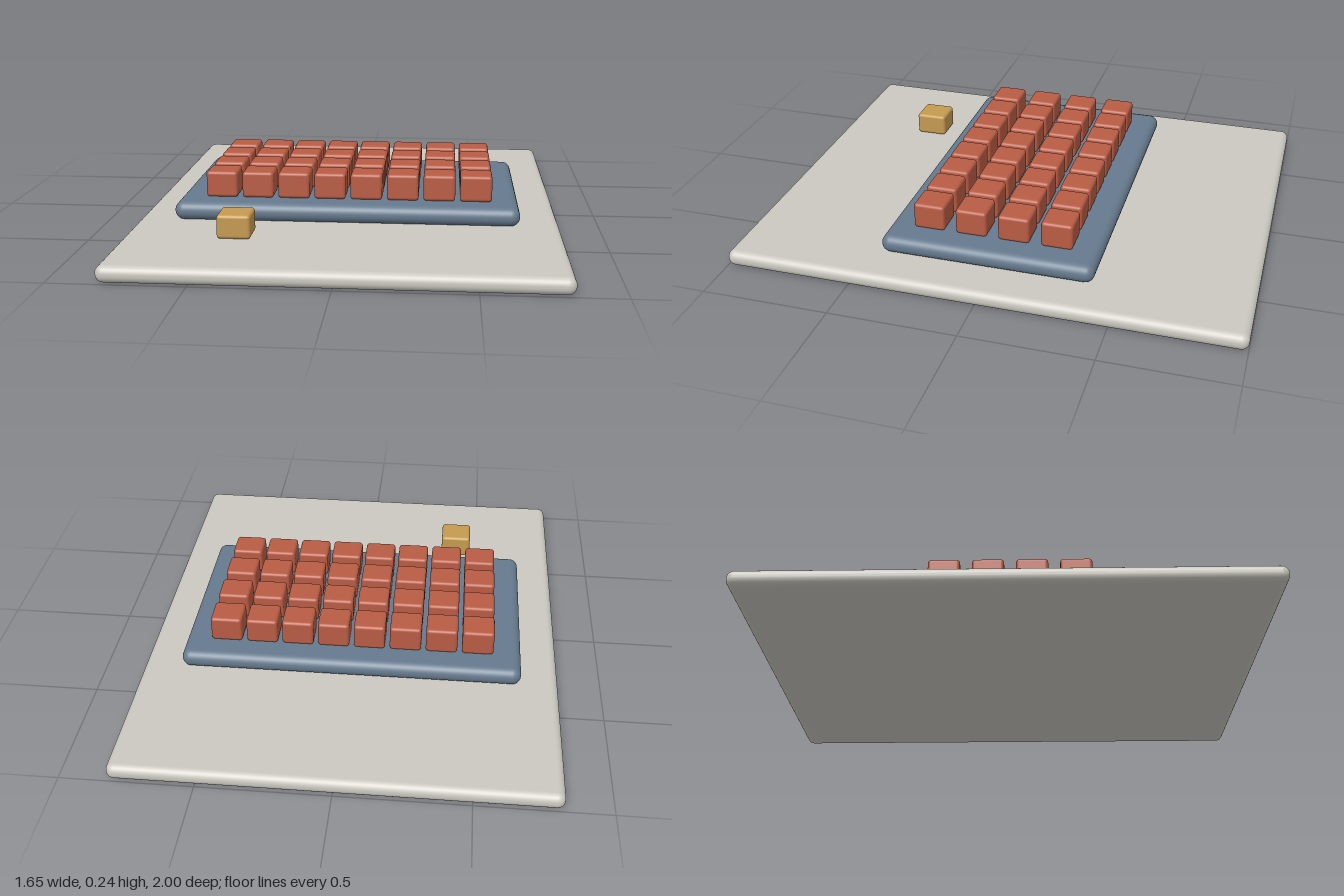
import * as THREE from 'three';
import { RoundedBoxGeometry } from 'three/addons/geometries/RoundedBoxGeometry.js';

function material(name, color) {
  const m = new THREE.MeshStandardMaterial({ color });
  m.name = name;
  return m;
}

// Rounded block whose underside sits at height y
function block(name, mat, [w, h, d], radius, [x, y, z]) {
  const mesh = new THREE.Mesh(new RoundedBoxGeometry(w, h, d, 4, radius), mat);
  mesh.name = name;
  mesh.position.set(x, y + h / 2, z);
  return mesh;
}

export function createModel() {
  const stone = material('warm grey', 0xcac8bf);
  const slate = material('slate blue', 0x667a8e);
  const brick = material('brick red', 0xb85c44);
  const ochre = material('ochre', 0xc49a50);

  const model = new THREE.Group();
  model.name = 'blockBoard';

  // Base sheet and the raised tray on it
  model.add(block('baseBoard', stone, [1.65, 0.064, 2], 0.03, [0, 0, 0]));
  model.add(block('tray', slate, [1.346, 0.073, 0.835], 0.035, [-0.004, 0.064, 0.006]));

  // Grid of blocks, four rows of eight
  const blocks = new THREE.Group();
  blocks.name = 'blocks';
  for (let row = 0; row < 4; row++) {
    for (let col = 0; col < 8; col++) {
      const x = -0.504 + col * 0.1435;
      const z = -0.246 + row * 0.1685;
      blocks.add(block(`block${row + 1}_${col + 1}`, brick, [0.125, 0.104, 0.123], 0.013, [x, 0.136, z]));
    }
  }
  model.add(blocks);

  // Single loose block in front of the tray
  model.add(block('looseBlock', ochre, [0.127, 0.092, 0.129], 0.013, [-0.4, 0.064, 0.587]));

  return model;
}
